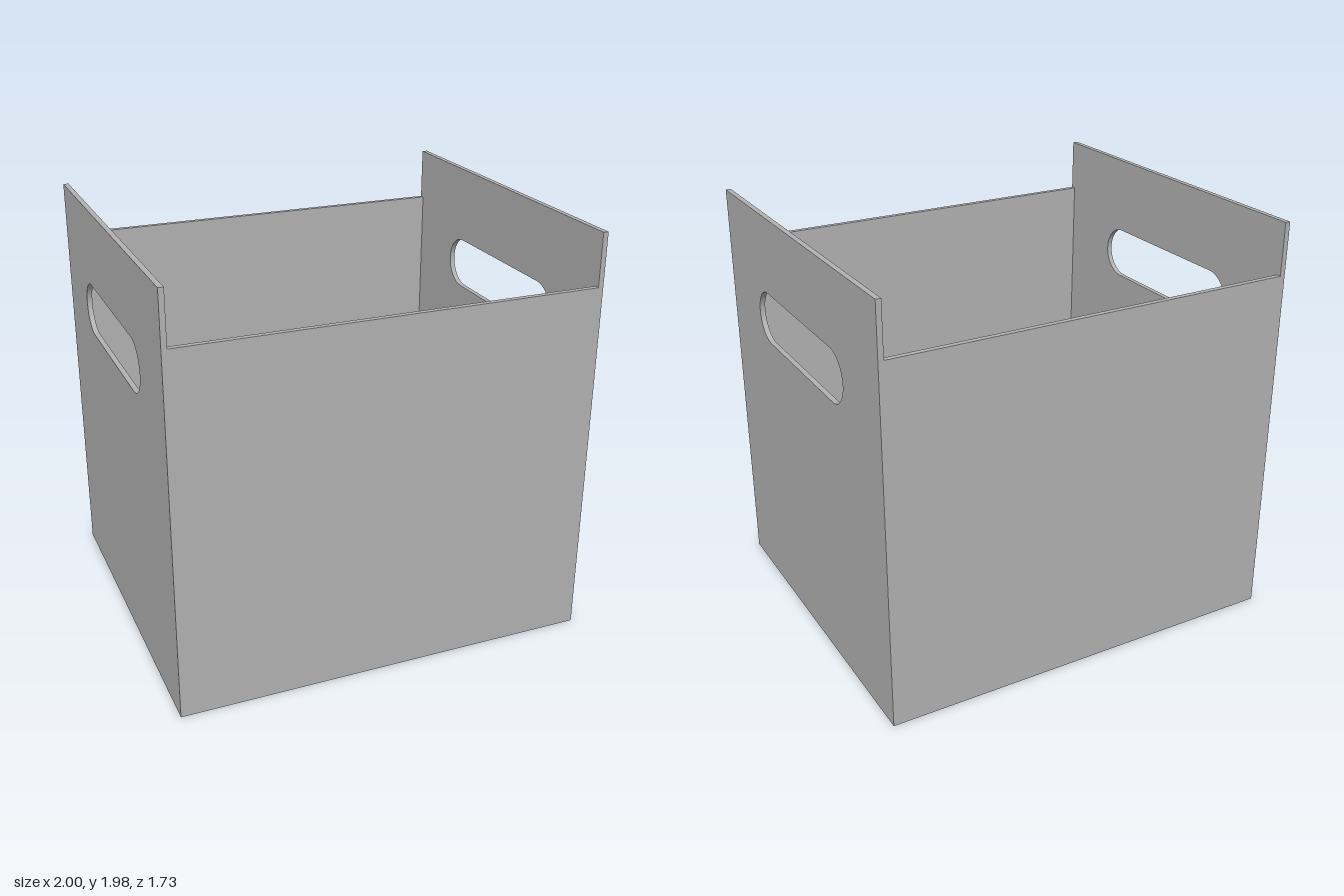
import * as THREE from 'three';

const W = 1, D = 0.865, T = 0.025;      // half width, half depth, panel thickness
const SIDE_H = 1.98, FRONT_H = 1.73;

export function createModel() {
  const grey = new THREE.MeshStandardMaterial({ color: 0xb2b2b2 });
  grey.name = 'grey panel';
  const group = new THREE.Group();
  group.name = 'storageBox';

  const add = (name, geometry, x, y, z) => {
    const mesh = new THREE.Mesh(geometry, grey);
    mesh.name = name;
    mesh.position.set(x, y, z);
    group.add(mesh);
  };

  // Tall side panel with a rounded handle slot
  const panel = new THREE.Shape();
  panel.moveTo(-D, 0).lineTo(D, 0).lineTo(D, SIDE_H).lineTo(-D, SIDE_H).closePath();
  const slot = new THREE.Path();
  const r = 0.125, c = 0.37, y = 1.485;
  slot.absarc(c, y, r, -Math.PI / 2, Math.PI / 2, false);
  slot.absarc(-c, y, r, Math.PI / 2, Math.PI * 1.5, false);
  slot.closePath();
  panel.holes.push(slot);
  const side = new THREE.ExtrudeGeometry(panel, { depth: T, bevelEnabled: false, curveSegments: 24 });
  side.rotateY(Math.PI / 2);
  add('leftSidePanel', side, W - T, 0, 0);
  add('rightSidePanel', side, -W, 0, 0);

  // Lower front and back panels fitted between the sides
  const wall = new THREE.BoxGeometry(2 * (W - T), FRONT_H, T);
  add('frontPanel', wall, 0, FRONT_H / 2, D - T / 2);
  add('backPanel', wall, 0, FRONT_H / 2, -D + T / 2);

  // Floor inside the four walls
  add('floor', new THREE.BoxGeometry(2 * (W - T), T, 2 * (D - T)), 0, T / 2, 0);

  return group;
}
